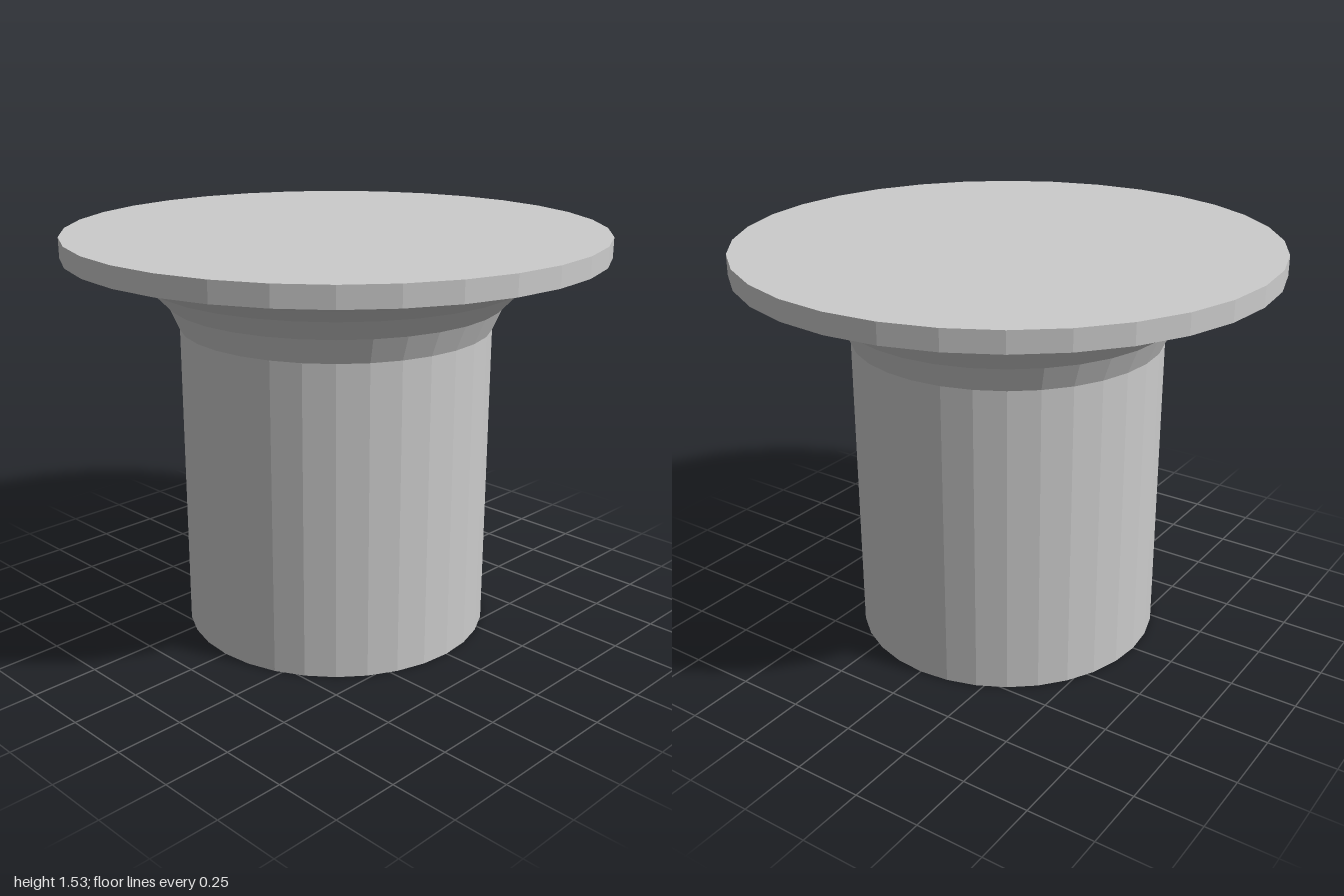
import * as THREE from 'three';

export function createModel() {
  const group = new THREE.Group();
  group.name = 'flangedColumn';

  // Profile from the base centre, up the stem, out along the flare and over the top disc
  const profile = [
    [0, 0],
    [0.585, 0],
    [0.585, 1.175],
    [0.625, 1.267],
    [0.7, 1.345],
    [0.828, 1.41],
    [1, 1.455],
    [1, 1.53],
    [0, 1.53],
  ].map(([r, y]) => new THREE.Vector2(r, y));

  // One closed, faceted solid of revolution
  const column = new THREE.Mesh(
    new THREE.LatheGeometry(profile, 32),
    new THREE.MeshStandardMaterial({ color: 0xcccccc, flatShading: true })
  );
  column.name = 'flaredColumn';
  group.add(column);

  return group;
}
